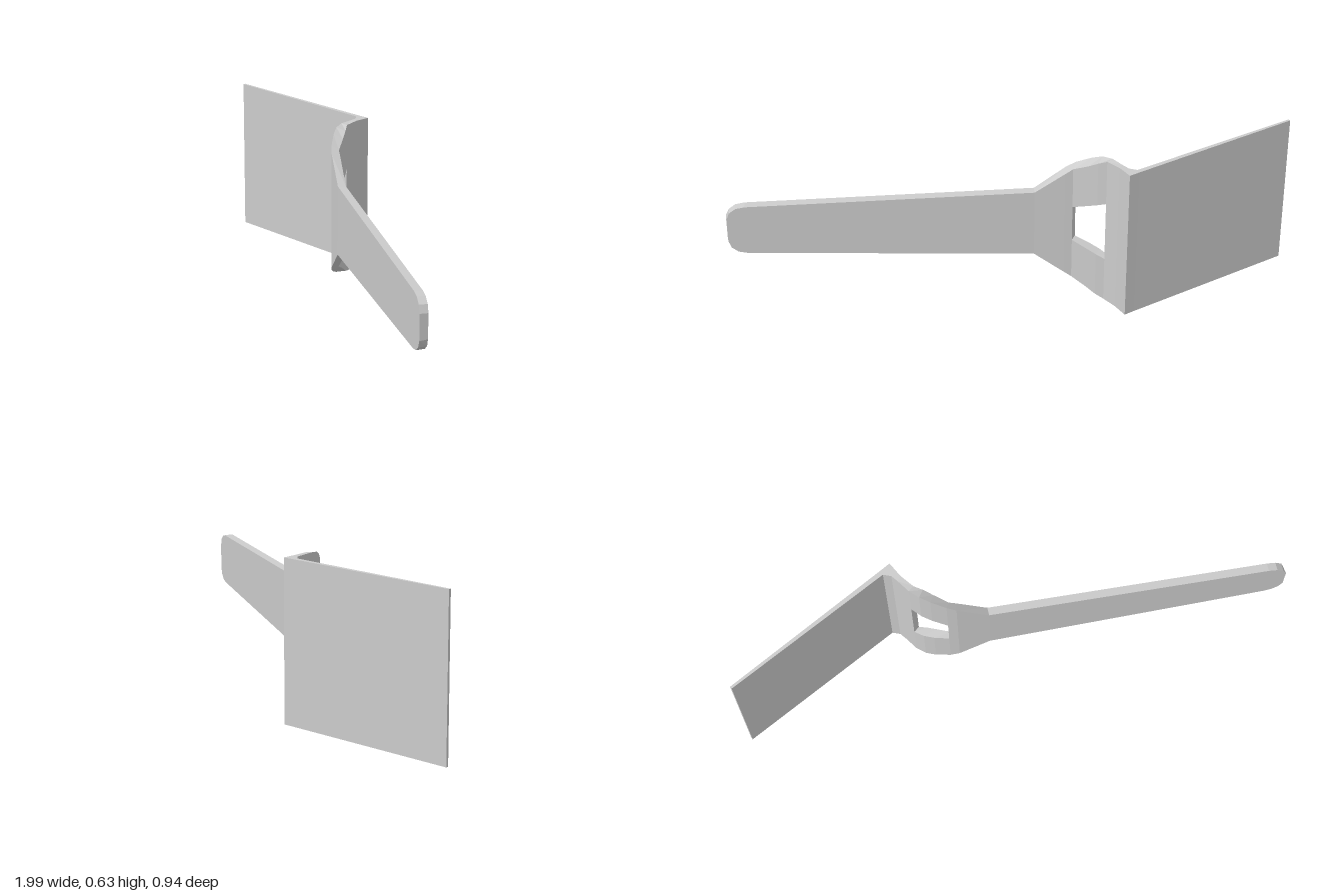
import * as THREE from 'three';

const MID = 0.315; // mid height of the whole tool
const material = new THREE.MeshStandardMaterial({ color: 0xcccccc, flatShading: true, side: THREE.DoubleSide });

// Solid swept through stations [frontX, frontZ, backX, backZ, frontHalf, backHalf, gapFront, gapBack].
// side 0 spans the full height; side +1 / -1 spans only from the gap to that edge.
function loft(name, stations, side = 0) {
  const rings = stations.map(([fx, fz, bx, bz, hf, hb, gf = 0, gb = 0]) => {
    const [f0, f1] = side === 0 ? [-hf, hf] : side > 0 ? [gf, hf] : [-hf, -gf];
    const [b0, b1] = side === 0 ? [-hb, hb] : side > 0 ? [gb, hb] : [-hb, -gb];
    return [[fx, MID + f0, fz], [fx, MID + f1, fz], [bx, MID + b1, bz], [bx, MID + b0, bz]];
  });
  const pos = [];
  const quad = (a, b, c, d) => pos.push(...a, ...b, ...c, ...a, ...c, ...d);
  for (let i = 0; i < rings.length - 1; i++) {
    for (let j = 0; j < 4; j++) {
      const k = (j + 1) % 4;
      quad(rings[i][j], rings[i + 1][j], rings[i + 1][k], rings[i][k]);
    }
  }
  const end = rings[rings.length - 1];
  quad(...rings[0]);
  quad(end[3], end[2], end[1], end[0]);
  const geometry = new THREE.BufferGeometry();
  geometry.setAttribute('position', new THREE.Float32BufferAttribute(pos, 3));
  geometry.computeVertexNormals();
  const mesh = new THREE.Mesh(geometry, material);
  mesh.name = name;
  return mesh;
}

export function createModel() {
  const group = new THREE.Group();
  group.name = 'spatula';

  // Stations shared by neighbouring parts
  const bend = [-0.288, -0.45, -0.283, -0.469, 0.315, 0.315];
  const armStart = [-0.255, -0.335, -0.228, -0.34, 0.315, 0.312, 0.125, 0.125];
  const armEnd = [-0.178, -0.208, -0.153, -0.225, 0.262, 0.245, 0.072, 0.075];
  const handleStart = [-0.045, -0.118, -0.03, -0.147, 0.142, 0.14];

  // Flat blade, thinning towards its free edge
  group.add(loft('blade', [[-1, -0.455, -1, -0.465, 0.315, 0.315], bend]));

  // Upright strip turning forward from the blade
  group.add(loft('bladeBend', [
    bend,
    [-0.267, -0.425, -0.24, -0.47, 0.315, 0.315],
    [-0.262, -0.395, -0.24, -0.405, 0.315, 0.315],
    armStart,
  ]));

  // Two arms around the opening
  const arms = [
    armStart,
    [-0.24, -0.293, -0.207, -0.312, 0.309, 0.297, 0.11, 0.112],
    [-0.217, -0.256, -0.185, -0.277, 0.292, 0.274, 0.095, 0.097],
    armEnd,
  ];
  group.add(loft('upperArm', arms, 1), loft('lowerArm', arms, -1));

  // Shoulder narrowing to the handle
  group.add(loft('shoulder', [armEnd, [-0.15, -0.183, -0.128, -0.21, 0.238, 0.224], handleStart]));

  // Tapered handle with a rounded tip
  const along = (d, half, backHalf, setback = 0) => {
    const c = 0.869, s = 0.495, b = d - setback;
    return [-0.045 + c * d, -0.118 + s * d, -0.03 + c * b, -0.147 + s * b, half, backHalf];
  };
  group.add(loft('handle', [
    handleStart,
    along(1.105, 0.106, 0.104),
    along(1.14, 0.099, 0.097),
    along(1.166, 0.079, 0.077),
    along(1.18, 0.05, 0.048, 0.004),
  ]));

  return group;
}
